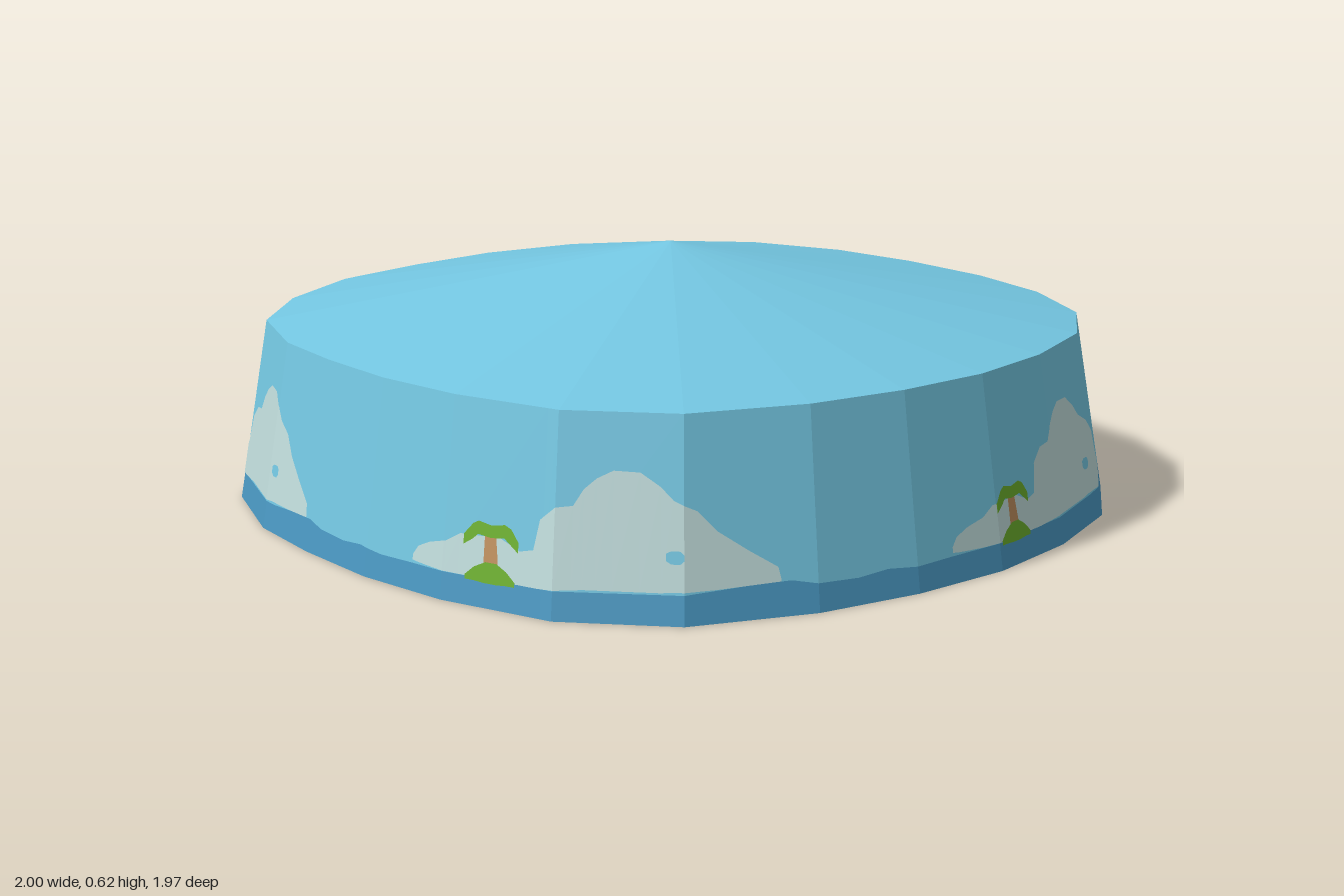
import * as THREE from 'three';

// Uneven 24-sided footprint, [x, z], counter-clockwise seen from above
const RING = [
  [-0.07, 0.985], [0.17, 0.98], [0.41, 0.937], [0.677, 0.835], [0.875, 0.637], [0.972, 0.353],
  [1, 0.096], [0.988, -0.16], [0.923, -0.412], [0.806, -0.658], [0.624, -0.84], [0.372, -0.948],
  [0.11, -0.985], [-0.169, -0.974], [-0.42, -0.926], [-0.667, -0.808], [-0.838, -0.621], [-0.966, -0.364],
  [-1, -0.091], [-0.972, 0.171], [-0.913, 0.439], [-0.768, 0.685], [-0.565, 0.878], [-0.297, 0.969],
];
const SIDES = RING.length, REPEATS = 5, STEP = SIDES / REPEATS;
const WALL_H = 0.435, TAPER = 0.07;
const APEX = [0.03, 0.62, 0.03];

const paint = (name, color) => {
  const m = new THREE.MeshStandardMaterial({ color, side: THREE.DoubleSide });
  m.name = name;
  return m;
};

// Point on the wall: s counts sides around the ring, y is height
function onWall(s, y, lift = 0) {
  const i = Math.floor(s), f = s - i;
  const a = RING[((i % SIDES) + SIDES) % SIDES], b = RING[(((i + 1) % SIDES) + SIDES) % SIDES];
  const k = 1 - (TAPER * y) / WALL_H + lift;
  return [(a[0] + (b[0] - a[0]) * f) * k, y, (a[1] + (b[1] - a[1]) * f) * k];
}

// Adds a strip given as [s, low, high] columns, folded at every wall corner
function strip(out, profile, start, lift = 0) {
  for (let n = 0; n < profile.length - 1; n++) {
    const p = profile[n], q = profile[n + 1];
    const s0 = p[0] + start, s1 = q[0] + start;
    const cuts = [s0];
    for (let c = Math.floor(s0) + 1; c < s1 - 1e-6; c++) if (c > s0 + 1e-6) cuts.push(c);
    cuts.push(s1);
    const at = (s, j) => onWall(s, p[j] + ((q[j] - p[j]) * (s - s0)) / (s1 - s0), lift);
    for (let c = 0; c < cuts.length - 1; c++) {
      const a = at(cuts[c], 1), b = at(cuts[c + 1], 1), d = at(cuts[c + 1], 2), e = at(cuts[c], 2);
      out.push(...a, ...b, ...d, ...a, ...d, ...e);
    }
  }
}

function meshFrom(name, positions, material) {
  const g = new THREE.BufferGeometry();
  g.setAttribute('position', new THREE.Float32BufferAttribute(positions, 3));
  g.computeVertexNormals();
  const mesh = new THREE.Mesh(g, material);
  mesh.name = name;
  return mesh;
}

export function createModel() {
  const group = new THREE.Group();
  group.name = 'skyCanopy';
  const sky = paint('sky blue', 0x74c7e2);
  const sea = paint('sea blue', 0x4a98c2);
  const cloudWhite = paint('pale cloud', 0xc0dcdb);
  const leaf = paint('leaf green', 0x6cb02c);
  const bark = paint('trunk brown', 0xbf8f5c);

  // One repeat of the waterline, [s, height]
  const waves = [[-0.8, 0.06], [0.5, 0.062], [1.6, 0.064], [2.1, 0.072], [2.4, 0.074], [2.6, 0.062],
    [3.0, 0.058], [3.3, 0.065], [3.6, 0.058], [STEP - 0.8, 0.06]];

  // Painted shapes, [s, low, high] columns around each palm
  const cloud = [[-0.78, 0.068, 0.08], [-0.72, 0.066, 0.1], [-0.58, 0.064, 0.115], [-0.38, 0.062, 0.127],
    [-0.25, 0.062, 0.148], [0.12, 0.062, 0.152], [0.3, 0.062, 0.132], [0.42, 0.062, 0.14], [0.47, 0.062, 0.205],
    [0.6, 0.064, 0.235], [0.74, 0.066, 0.24], [0.82, 0.068, 0.275], [0.92, 0.068, 0.298], [1.05, 0.068, 0.315],
    [1.26, 0.068, 0.313], [1.42, 0.068, 0.285], [1.52, 0.07, 0.258], [1.7, 0.07, 0.235], [1.85, 0.07, 0.19],
    [2.08, 0.072, 0.145], [2.3, 0.074, 0.105], [2.32, 0.074, 0.08]];
  const gap = [[1.46, 0.135, 0.15], [1.5, 0.128, 0.155], [1.57, 0.128, 0.155], [1.6, 0.135, 0.148]];
  const trunk = [[-0.02, 0.08, 0.16], [0.03, 0.08, 0.16], [0.08, 0.08, 0.16], [0.11, 0.08, 0.1]];
  const crown = [[-0.21, 0.128, 0.15], [-0.13, 0.142, 0.175], [-0.08, 0.154, 0.182], [0.04, 0.15, 0.176],
    [0.16, 0.154, 0.182], [0.22, 0.142, 0.175], [0.29, 0.128, 0.15]];
  const mound = [[-0.18, 0.056, 0.066], [-0.1, 0.056, 0.085], [0.0, 0.054, 0.098], [0.1, 0.054, 0.098],
    [0.19, 0.056, 0.085], [0.27, 0.056, 0.066]];

  // Wall, split into sea below and sky above
  const seaPos = [], skyPos = [];
  const parts = { cloud: [], cloudGap: [], palmTrunk: [], palmCrown: [], palmIsland: [] };
  for (let r = 0; r < REPEATS; r++) {
    const s = 2.4 + r * STEP;
    strip(seaPos, waves.map(([u, h]) => [u, 0, h]), s);
    strip(skyPos, waves.map(([u, h]) => [u, h, WALL_H]), s);
    // Painted scenery on the outer and inner faces
    for (const face of [1, -1]) {
      strip(parts.cloud, cloud, s, face * 0.0015);
      strip(parts.cloudGap, gap, s, face * 0.003);
      strip(parts.palmTrunk, trunk, s, face * 0.003);
      strip(parts.palmCrown, crown, s, face * 0.0045);
      strip(parts.palmIsland, mound, s, face * 0.0045);
    }
  }
  group.add(meshFrom('seaBand', seaPos, sea), meshFrom('skyWall', skyPos, sky));

  const colours = { cloud: cloudWhite, cloudGap: sky, palmTrunk: bark, palmCrown: leaf, palmIsland: leaf };
  for (const name in parts) group.add(meshFrom(name, parts[name], colours[name]));

  // Shallow pointed roof
  const roof = [];
  for (let i = 0; i < SIDES; i++) roof.push(...onWall(i, WALL_H), ...onWall(i + 1, WALL_H), ...APEX);
  group.add(meshFrom('roof', roof, sky));

  return group;
}
